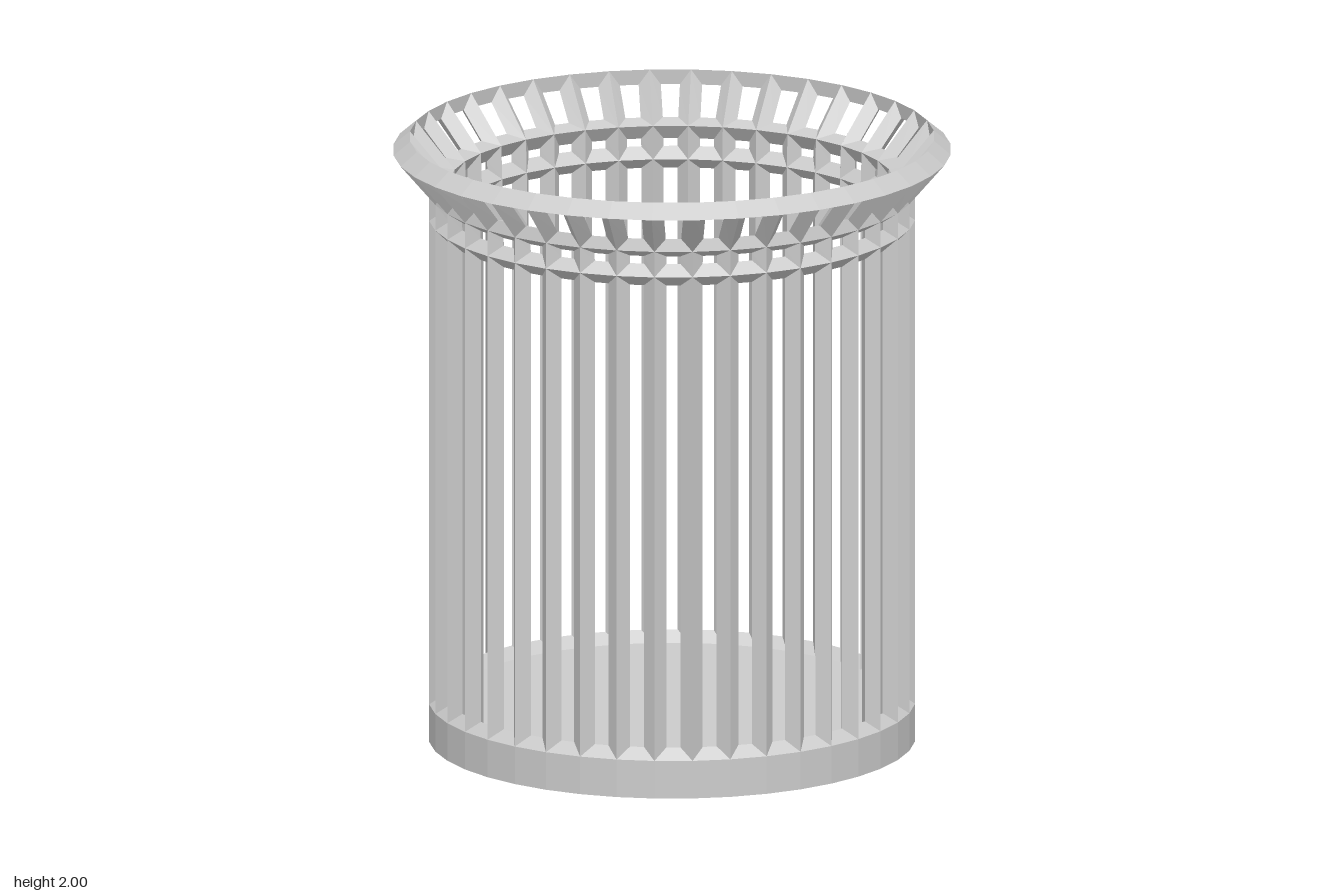
import * as THREE from 'three';

const SIDES = 40;
const INSET = 0.036; // half width of every bar

// Rings from bottom to top: outer ridge and inner ridge as [radius, height]
const RINGS = [
  { outer: [0.785, 0.125], inner: [0.715, 0.125] },
  { outer: [0.785, 1.735], inner: [0.715, 1.735] },
  { outer: [0.785, 1.82], inner: [0.719, 1.845] },
  { outer: [0.9, 1.955], inner: [0.846, 2.0] },
];

function at([r, y], i) {
  const a = (i / SIDES) * Math.PI * 2;
  return new THREE.Vector3(r * Math.sin(a), y, r * Math.cos(a));
}

function quad(out, a, b, c, d) {
  for (const p of [a, b, c, a, c, d]) out.push(p.x, p.y, p.z);
}

function toMesh(name, positions, material) {
  const geometry = new THREE.BufferGeometry();
  geometry.setAttribute('position', new THREE.Float32BufferAttribute(positions, 3));
  geometry.computeVertexNormals();
  const mesh = new THREE.Mesh(geometry, material);
  mesh.name = name;
  return mesh;
}

// One band of open panels between two rings; the bars are diamond shaped
function latticeBand(name, low, high, material) {
  const out = [];
  for (let i = 0; i < SIDES; i++) {
    const corners = [[low, i], [low, i + 1], [high, i + 1], [high, i]];
    const outer = corners.map(([ring, k]) => at(ring.outer, k));
    const inner = corners.map(([ring, k]) => at(ring.inner, k));
    const mid = outer.map((p, k) => p.clone().add(inner[k]).multiplyScalar(0.5));
    // Move each corner into the panel along both of its edges
    const hole = mid.map((p, k) => {
      const next = mid[(k + 1) % 4].clone().sub(p).setLength(INSET);
      const prev = mid[(k + 3) % 4].clone().sub(p).setLength(INSET);
      return p.clone().add(next).add(prev);
    });
    for (let k = 0; k < 4; k++) {
      const n = (k + 1) % 4;
      quad(out, outer[k], outer[n], hole[n], hole[k]);
      quad(out, inner[n], inner[k], hole[k], hole[n]);
    }
  }
  return toMesh(name, out, material);
}

export function createModel() {
  const group = new THREE.Group();
  group.name = 'slattedBasket';
  const material = new THREE.MeshStandardMaterial({ color: 0xcccccc, flatShading: true });

  // Solid base, its top is the floor
  const base = new THREE.Mesh(new THREE.CylinderGeometry(0.785, 0.785, 0.125, SIDES), material);
  base.position.y = 0.0625;
  base.name = 'base';
  group.add(base);

  // Long slats, short collar and flared rim
  ['slats', 'collar', 'flaredRim'].forEach((name, i) =>
    group.add(latticeBand(name, RINGS[i], RINGS[i + 1], material)));

  // Bevelled edge closing the top of the rim
  const edge = [];
  const { outer, inner } = RINGS[3];
  for (let i = 0; i < SIDES; i++) {
    quad(edge, at(outer, i), at(outer, i + 1), at(inner, i + 1), at(inner, i));
  }
  group.add(toMesh('rimEdge', edge, material));

  return group;
}
